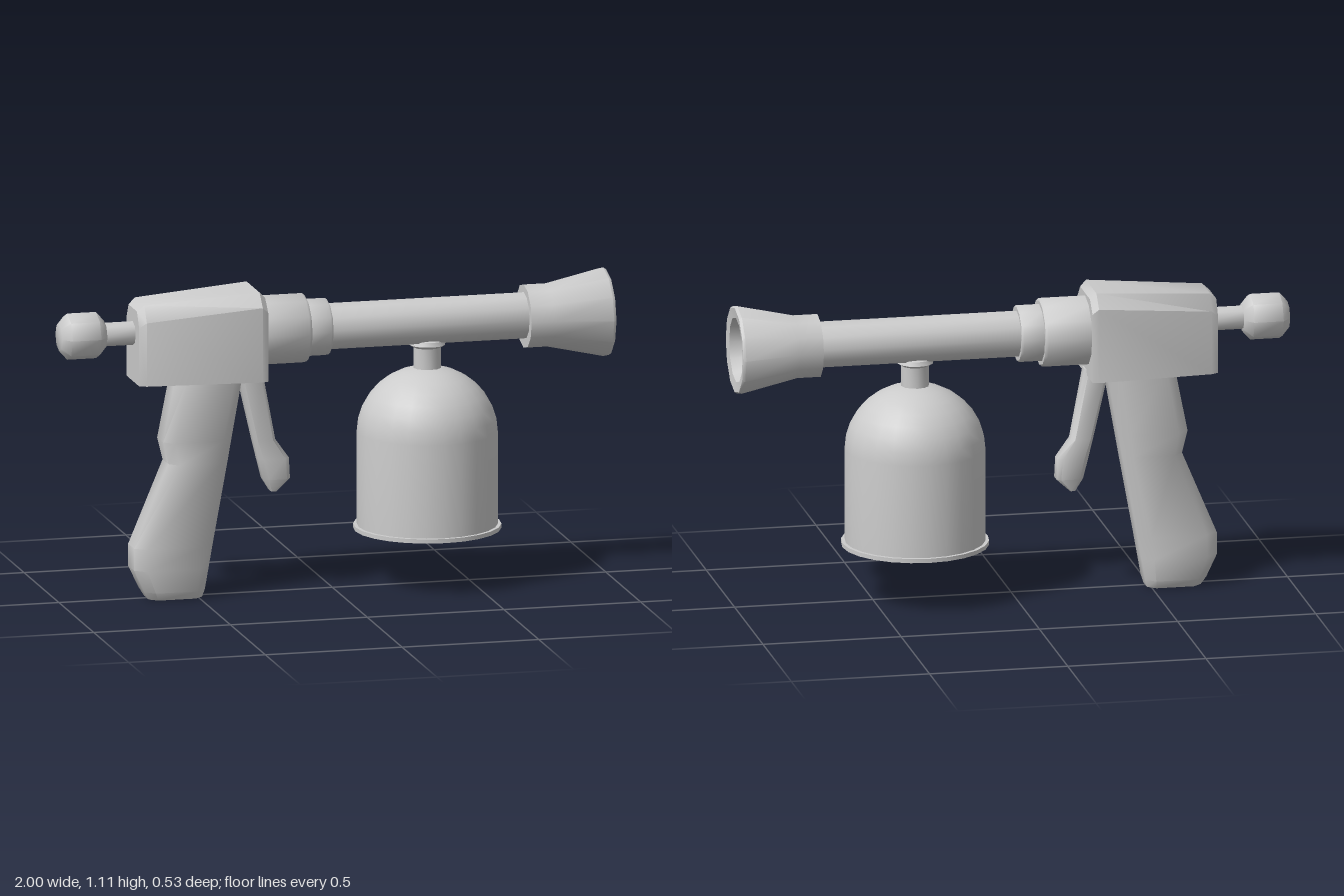
import * as THREE from 'three';
import { toCreasedNormals } from 'three/addons/utils/BufferGeometryUtils.js';

const material = new THREE.MeshStandardMaterial({ color: 0xcccccc });

function addPart(group, name, geometry, crease) {
  const mesh = new THREE.Mesh(toCreasedNormals(geometry, crease), material);
  mesh.name = name;
  group.add(mesh);
}

// Turned profile of [radius, height] pairs, listed bottom to top
function turned(profile, sides) {
  const points = profile.map((p) => new THREE.Vector2(p[0], p[1]));
  return new THREE.LatheGeometry(points, sides);
}

// Turned profile of [radius, x] pairs, lying along x at height y
function turnedAlongX(profile, sides, y) {
  const geometry = turned(profile, sides);
  geometry.rotateZ(-Math.PI / 2);
  geometry.translate(0, y, 0);
  return geometry;
}

// Closed solid through rings, counterclockwise when facing the last ring
function loft(rings) {
  const n = rings[0].length;
  const last = (rings.length - 1) * n;
  const index = [];
  for (let start = 0; start < last; start += n) {
    for (let j = 0; j < n; j++) {
      const a = start + j;
      const b = start + ((j + 1) % n);
      index.push(a, b, b + n);
      index.push(a, b + n, a + n);
    }
  }
  for (let j = 1; j < n - 1; j++) {
    index.push(0, j + 1, j);
    index.push(last, last + j, last + j + 1);
  }
  const geometry = new THREE.BufferGeometry();
  const positions = new THREE.Float32BufferAttribute(rings.flat(2), 3);
  geometry.setAttribute('position', positions);
  geometry.setIndex(index);
  return geometry;
}

// Chamfered level of the grip or trigger
const octagon = [
  [1, 0.55], [0.7, 1], [-0.7, 1], [-1, 0.55],
  [-1, -0.55], [-0.7, -1], [0.7, -1], [1, -0.55],
];
function level(y, back, front, halfWidth) {
  const centre = (back + front) / 2;
  const reach = (front - back) / 2;
  return octagon.map((p) => [centre + reach * p[0], y, -halfWidth * p[1]]);
}

// Housing section with sloped shoulders
function housingSection(x, w, shoulder, top) {
  const ridge = w * 0.66;
  return [
    [x, 0.79, -w], [x, shoulder, -w], [x, top, -ridge],
    [x, top, ridge], [x, shoulder, w], [x, 0.79, w],
  ];
}

export function createModel() {
  const model = new THREE.Group();
  model.name = 'sprayGun';

  // Rear plunger
  const knob = [[0, -1], [0.05, -1], [0.084, -0.97], [0.084, -0.865], [0.05, -0.835], [0, -0.835]];
  addPart(model, 'plungerKnob', turnedAlongX(knob, 8, 0.964), 0.85);
  const rod = [[0.043, -0.85], [0.043, -0.7]];
  addPart(model, 'plungerRod', turnedAlongX(rod, 8, 0.964), 0.85);

  // Housing, widening towards the front
  const housing = [
    housingSection(-0.73, 0.092, 1.0, 1.055),
    housingSection(-0.705, 0.105, 1.02, 1.077),
    housingSection(-0.29, 0.141, 1.06, 1.107),
    housingSection(-0.268, 0.132, 1.04, 1.085),
  ];
  addPart(model, 'housing', loft(housing), 0.7);

  // Stepped collar and barrel
  const collar = [
    [0.126, -0.28], [0.126, -0.112], [0.118, -0.102], [0.104, -0.102],
    [0.104, -0.028], [0.098, -0.02], [0.07, -0.02],
  ];
  addPart(model, 'collar', turnedAlongX(collar, 12, 0.949), 0.85);
  const barrel = [[0.084, -0.04], [0.084, 0.72]];
  addPart(model, 'barrel', turnedAlongX(barrel, 12, 0.949), 0.85);

  // Flared hollow nozzle
  const nozzle = [
    [0.08, 0.7], [0.115, 0.7], [0.115, 0.785], [0.161, 0.99],
    [0.155, 1], [0.118, 0.995], [0.075, 0.8], [0, 0.76],
  ];
  addPart(model, 'nozzle', turnedAlongX(nozzle, 12, 0.946), 0.85);

  // Grip and trigger
  const grip = [
    level(0, -0.68, -0.485, 0.058),
    level(0.03, -0.698, -0.477, 0.077),
    level(0.11, -0.736, -0.463, 0.078),
    level(0.19, -0.736, -0.449, 0.078),
    level(0.49, -0.61, -0.394, 0.077),
    level(0.57, -0.63, -0.38, 0.077),
    level(0.81, -0.583, -0.337, 0.077),
  ];
  addPart(model, 'grip', loft(grip), 0.9);
  const trigger = [
    level(0.365, -0.23, -0.208, 0.025),
    level(0.41, -0.257, -0.16, 0.036),
    level(0.485, -0.276, -0.164, 0.036),
    level(0.555, -0.293, -0.214, 0.036),
    level(0.81, -0.352, -0.262, 0.036),
  ];
  addPart(model, 'trigger', loft(trigger), 0.9);

  // Domed tank hanging below the barrel
  const tank = new THREE.Group();
  tank.name = 'tank';
  tank.position.x = 0.347;
  model.add(tank);
  const shell = [[0.25, 0.205]];
  for (let i = 0; i <= 8; i++) {
    const angle = (i * Math.PI) / 16;
    shell.push([0.25 * Math.cos(angle), 0.55 + 0.235 * Math.sin(angle)]);
  }
  addPart(tank, 'tankShell', turned(shell, 24), 0.6);
  const flange = [[0, 0.198], [0.263, 0.198], [0.263, 0.213], [0.245, 0.213]];
  addPart(tank, 'tankFlange', turned(flange, 24), 0.6);
  const neck = [[0.05, 0.765], [0.05, 0.855], [0.066, 0.865], [0.06, 0.88], [0.04, 0.888], [0, 0.888]];
  addPart(tank, 'tankNeck', turned(neck, 12), 0.7);

  return model;
}
